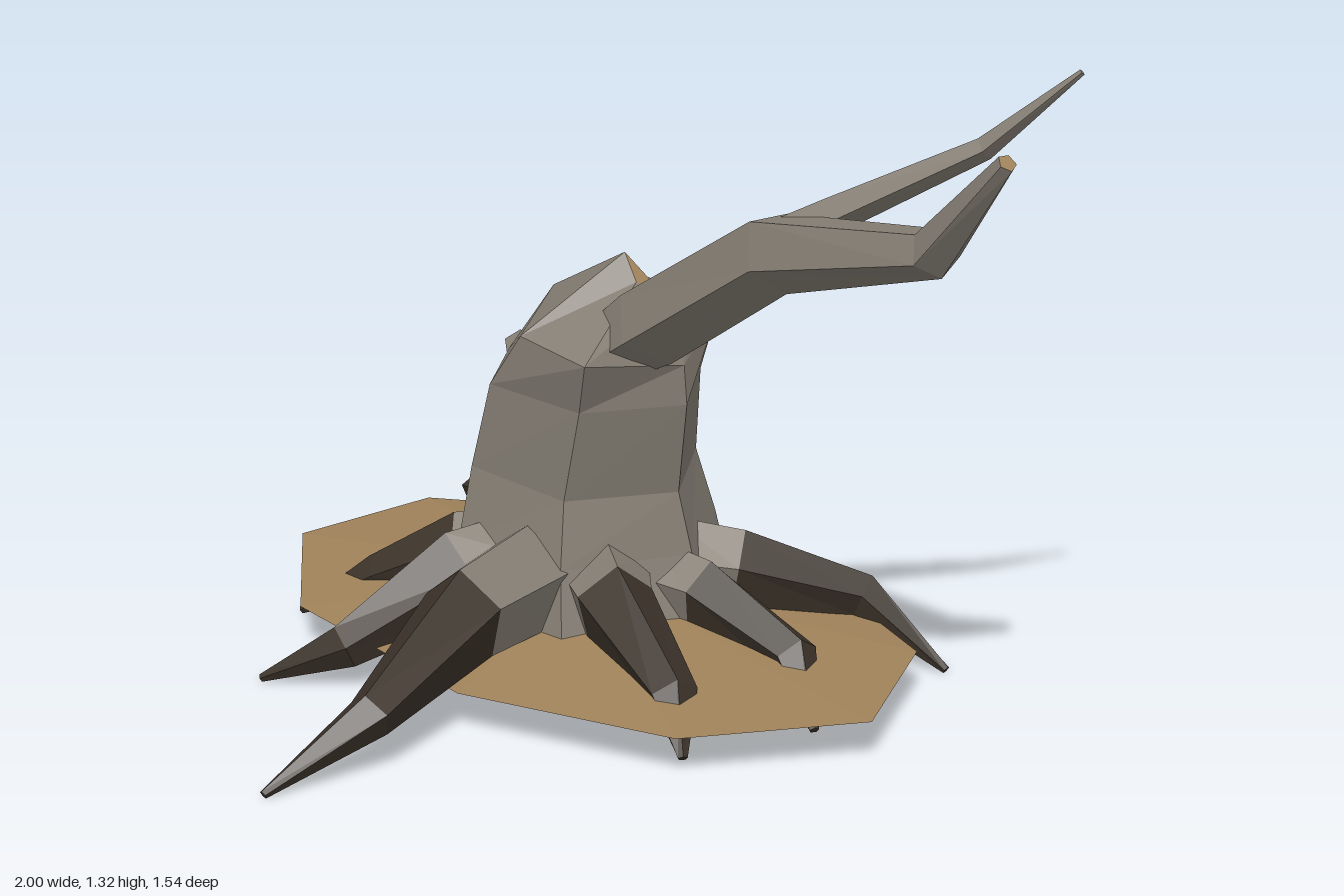
import * as THREE from 'three';

const flat = (name, color, side = THREE.FrontSide) => {
  const m = new THREE.MeshStandardMaterial({ color, flatShading: true, side });
  m.name = name;
  return m;
};

// Skin a list of rings (arrays of Vector3) with quads, optionally closing the end
function skin(rings, capEnd) {
  const pos = [], n = rings[0].length;
  const tri = (...v) => v.forEach(p => pos.push(p.x, p.y, p.z));
  for (let i = 0; i < rings.length - 1; i++)
    for (let j = 0; j < n; j++) {
      const k = (j + 1) % n, a = rings[i], b = rings[i + 1];
      tri(a[j], a[k], b[k]);
      tri(a[j], b[k], b[j]);
    }
  const sideCount = pos.length / 3;
  const last = rings[rings.length - 1];
  if (capEnd) for (let j = 1; j < n - 1; j++) tri(last[0], last[j], last[j + 1]);
  const g = new THREE.BufferGeometry();
  g.setAttribute('position', new THREE.Float32BufferAttribute(pos, 3));
  g.addGroup(0, sideCount, 0);
  if (capEnd) g.addGroup(sideCount, pos.length / 3 - sideCount, 1);
  g.computeVertexNormals();
  return g;
}

// Rings along a bent path; each point is [x, y, z, halfWidth, halfHeight]
function limbRings(pts, sides, phase = Math.PI / 2) {
  const c = pts.map(p => new THREE.Vector3(p[0], p[1], p[2]));
  const up = new THREE.Vector3(0, 1, 0);
  return pts.map((p, i) => {
    const t = c[Math.min(i + 1, c.length - 1)].clone().sub(c[Math.max(i - 1, 0)]).normalize();
    const s = up.clone().cross(t).normalize();
    const n = t.clone().cross(s);
    return Array.from({ length: sides }, (_, j) => {
      const a = phase + j / sides * Math.PI * 2;
      return c[i].clone().addScaledVector(s, Math.cos(a) * p[3]).addScaledVector(n, Math.sin(a) * p[4]);
    });
  });
}

export function createModel() {
  const group = new THREE.Group();
  const bark = flat('greyBark', 0x857e74);
  const rootBark = flat('darkRoot', 0x3c332a);
  const wood = flat('cutWood', 0x9f825a);
  const soil = flat('soil', 0x9f825a, THREE.DoubleSide);
  const add = (name, geo, mat) => {
    const m = new THREE.Mesh(geo, mat);
    m.name = name;
    group.add(m);
  };

  // Six-sided trunk: [centre x, y, centre z, radius x, radius z, slope along x]
  const trunk = [
    [-0.21, 0.11, -0.21, 0.31, 0.31, 0],
    [-0.215, 0.25, -0.21, 0.27, 0.28, 0],
    [-0.22, 0.395, -0.205, 0.245, 0.24, -0.08],
    [-0.175, 0.58, -0.195, 0.235, 0.22, -0.05],
  ].map(([x, y, z, rx, rz, slope]) => Array.from({ length: 6 }, (_, j) => {
    const a = -j / 6 * Math.PI * 2 - 0.14;
    const dx = Math.cos(a) * rx;
    return new THREE.Vector3(x + dx, y + slope * dx, z + Math.sin(a) * rz);
  }));
  // Shoulder and broken, peaked rim, in the same corner order: right, back, left, front
  const crown = [
    [[0.055, 0.65, -0.22], [0, 0.72, -0.36], [-0.18, 0.735, -0.36],
      [-0.31, 0.74, -0.2], [-0.18, 0.7, 0], [0.01, 0.68, 0]],
    [[0.005, 0.775, -0.22], [0, 0.755, -0.33], [-0.17, 0.765, -0.32],
      [-0.19, 0.8, -0.21], [-0.075, 0.86, -0.18], [-0.03, 0.81, -0.17]],
  ].map(ring => ring.map(p => new THREE.Vector3(...p)));
  add('trunk', skin([...trunk, ...crown], true), [bark, wood]);

  // Branches
  add('mainBranch', skin(limbRings([
    [-0.03, 0.70, -0.16, 0.10, 0.075],
    [0.04, 0.745, -0.16, 0.105, 0.085],
    [0.38, 0.96, -0.145, 0.08, 0.08],
    [0.80, 1.05, -0.115, 0.057, 0.047],
    [0.985, 1.25, -0.085, 0.018, 0.018],
  ], 5, -Math.PI / 2), true), [bark, wood]);
  add('twig', skin(limbRings([
    [0.36, 0.97, -0.15, 0.055, 0.04],
    [0.45, 1.03, -0.22, 0.05, 0.035],
    [0.67, 1.17, -0.38, 0.025, 0.022],
    [0.815, 1.322, -0.47, 0.006, 0.006],
  ], 4), true), [bark, bark]);
  add('brokenStub', skin(limbRings([
    [-0.33, 0.47, -0.21, 0.085, 0.075],
    [-0.45, 0.51, -0.27, 0.06, 0.05],
    [-0.57, 0.535, -0.33, 0.034, 0.028],
  ], 5), true), [bark, wood]);

  // Roots: [collar x, z, collar thickness, knee x, y, z, tip x, z]
  const roots = [
    [-0.09, 0.22, 0.10, 0.02, 0.115, 0.54, -0.01, 0.77],
    [-0.285, 0.08, 0.095, -0.335, 0.09, 0.33, -0.465, 0.44],
    [-0.42, -0.05, 0.08, -0.58, 0.10, 0.05, -0.71, 0.155],
    [-0.43, -0.34, 0.08, -0.83, 0.11, -0.44, -0.99, -0.585],
    [-0.28, -0.45, 0.085, -0.405, 0.12, -0.61, -0.425, -0.765],
    [-0.17, -0.44, 0.065, -0.185, 0.10, -0.53, -0.16, -0.6],
    [0.05, -0.38, 0.085, 0.22, 0.13, -0.57, 0.41, -0.615],
    [0.09, -0.25, 0.075, 0.33, 0.11, -0.265, 0.45, -0.2],
    [0.04, -0.05, 0.09, 0.30, 0.10, 0.03, 0.38, 0.08],
  ];
  for (const [cx, cz, r, kx, ky, kz, tx, tz] of roots) {
    // each root swells out of the trunk, then thins towards the ground
    const y = 0.10 + r;
    const rings = limbRings([
      [cx + (-0.2 - cx) * 0.5, y + 0.01, cz + (-0.2 - cz) * 0.5, r * 1.1, r * 1.1],
      [cx, y, cz, r * 0.9, r],
      [kx, ky, kz, 0.049, 0.046],
      [tx, 0.012, tz, 0.01, 0.008],
    ], 5);
    add('rootCollar', skin(rings.slice(0, 2)), bark);
    add('root', skin(rings.slice(1), true), [rootBark, rootBark]);
  }

  // Short roots bending down beneath the soil
  for (const [x, z] of [[-0.17, 0.01], [-0.4, -0.13], [-0.12, -0.42], [0.06, -0.16]]) {
    const dx = x + 0.2, dz = z + 0.2;
    add('undergroundRoot', skin(limbRings([
      [-0.2, 0.11, -0.2, 0.05, 0.05],
      [-0.2 + dx * 0.6, 0.085, -0.2 + dz * 0.6, 0.05, 0.04],
      [x, 0.035, z, 0.012, 0.01],
    ], 5), true), [rootBark, rootBark]);
  }

  // Soil patch: a shallow fan around a raised centre
  const rim = [[-0.91, -0.35], [-0.56, -0.61], [-0.03, -0.67], [0.435, -0.5], [0.62, -0.18],
    [0.435, 0.15], [0, 0.315], [-0.565, 0.265], [-0.91, 0]];
  const fan = [];
  rim.forEach(([x, z], i) => {
    const [x2, z2] = rim[(i + 1) % rim.length];
    fan.push(-0.2, 0.15, -0.19, x2, 0.09, z2, x, 0.09, z);
  });
  const patch = new THREE.BufferGeometry();
  patch.setAttribute('position', new THREE.Float32BufferAttribute(fan, 3));
  patch.computeVertexNormals();
  add('soilPatch', patch, soil);

  return group;
}
